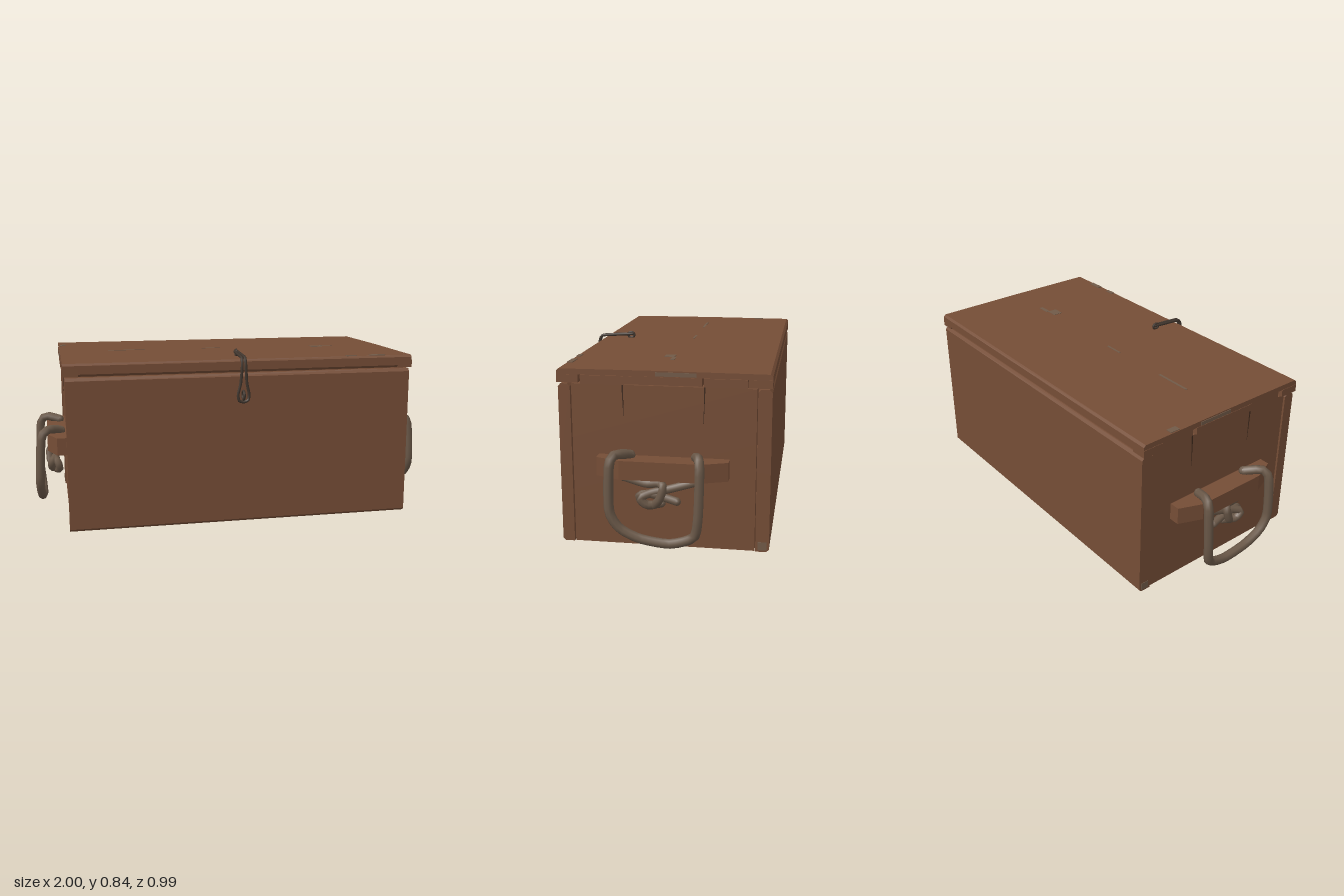
import * as THREE from 'three';

export function createModel() {
  const group = new THREE.Group();
  const mat = (name, color) => Object.assign(new THREE.MeshStandardMaterial({ color }), { name });
  const wood = mat('wood', 0x754d36);
  const rope = mat('rope', 0x6a5848);
  const metal = mat('darkMetal', 0x40362e);
  const worn = mat('wornWood', 0x715a48);
  const crack = mat('crack', 0x3f2a1d);

  const add = (name, geometry, material, parent = group) => {
    const mesh = new THREE.Mesh(geometry, material);
    mesh.name = name;
    parent.add(mesh);
    return mesh;
  };

  // Plain box given by its limits
  const box = (name, x0, x1, y0, y1, z0, z1, material = wood, parent = group) => {
    const g = new THREE.BoxGeometry(Math.abs(x1 - x0), y1 - y0, z1 - z0);
    g.translate((x0 + x1) / 2, (y0 + y1) / 2, (z0 + z1) / 2);
    return add(name, g, material, parent);
  };

  // Board running along x with a zy cross-section
  const board = (name, points, halfLength) => {
    const shape = new THREE.Shape(points.map(([z, y]) => new THREE.Vector2(-z, y)));
    const g = new THREE.ExtrudeGeometry(shape, { depth: halfLength * 2, bevelEnabled: false });
    g.translate(0, 0, -halfLength).rotateY(Math.PI / 2);
    return add(name, g, wood);
  };

  // Rope or wire through points, with rounded ends
  const cord = (name, points, radius, material, parent, segments = 30, closed = false) => {
    const v = points.map(p => new THREE.Vector3(...p));
    const curve = new THREE.CatmullRomCurve3(v, closed, 'catmullrom', 0.35);
    add(name, new THREE.TubeGeometry(curve, segments, radius, 8, closed), material, parent);
    if (!closed) for (const p of [v[0], v[v.length - 1]])
      add(name + 'End', new THREE.SphereGeometry(radius, 8, 6).translate(p.x, p.y, p.z), material, parent);
  };

  // Front and back walls, two boards each, with chamfered outer edges
  const walls = [['front', 0.393, 0.447, 1], ['back', -0.495, -0.434, -1]];
  for (const [side, z0, z1, dir] of walls) {
    const [inner, outer] = dir > 0 ? [z0, z1] : [z1, z0];
    const c = 0.012 * dir;
    board(side + 'LowerBoard', [[inner, 0.004], [outer - c, 0.004], [outer, 0.016], [outer, 0.37], [inner, 0.37]], 0.847);
    board(side + 'UpperBoard', [[inner, 0.37], [outer, 0.37], [outer, 0.728], [outer - c, 0.742], [inner + c, 0.742], [inner, 0.73]], 0.847);
  }
  box('bottomPanel', -0.79, 0.79, 0.008, 0.05, -0.43, 0.39);

  // Lid: bevelled top in two boards, with a lower layer
  board('lidFrontBoard', [[-0.025, 0.785], [0.45, 0.785], [0.45, 0.8], [0.44, 0.81], [-0.025, 0.812]], 0.856);
  board('lidBackBoard', [[-0.025, 0.785], [-0.025, 0.812], [-0.485, 0.81], [-0.496, 0.8], [-0.496, 0.785]], 0.856);
  board('lidUnderside', [[-0.496, 0.785], [-0.496, 0.76], [-0.485, 0.749], [0.439, 0.749], [0.45, 0.76], [0.45, 0.785]], 0.785);

  // Worn patches on the lid and the walls
  const patches = [[-0.61, -0.42, -0.035, -0.023], [-0.12, -0.02, -0.035, -0.025], [0.47, 0.53, -0.02, 0.03],
    [0.53, 0.6, -0.03, -0.01], [-0.85, -0.82, -0.34, -0.29], [0.52, 0.57, 0.42, 0.44], [0.64, 0.72, 0.415, 0.44]];
  for (const [x0, x1, z0, z1] of patches) box('wornPatch', x0, x1, 0.807, 0.8135, z0, z1, worn);

  for (const s of [1, -1]) {
    const end = new THREE.Group();
    end.name = s > 0 ? 'leftEnd' : 'rightEnd';
    group.add(end);

    // End wall of three boards with two tabs reaching into the lid
    for (const [y0, y1] of [[0.004, 0.25], [0.25, 0.497], [0.497, 0.742]])
      box('endBoard', s * 0.79, s * 0.84, y0, y1, -0.43, 0.389, wood, end);
    for (const [z0, z1] of [[0.155, 0.348], [-0.388, -0.2]])
      box('endTab', s * 0.79, s * 0.84, 0.742, 0.78, z0, z1, wood, end);
    // Lid edge between the tabs
    for (const [z0, z1] of [[0.353, 0.45], [-0.195, 0.15], [-0.496, -0.393]])
      box('lidEdge', s * 0.785, s * 0.858, 0.749, 0.785, z0, z1, wood, end);
    box('lidWornEdge', s * 0.853, s * 0.859, 0.788, 0.806, -0.17, 0.01, worn, end);
    box('wornCorner', s * 0.844, s * 0.849, 0.012, 0.05, -0.485, -0.445, worn, end);

    // Narrow splits below the tabs
    for (const [z, d] of [[0.155, 0.007], [-0.2, -0.007]]) {
      const tri = new THREE.Shape([[-z, 0.742], [-z - d, 0.742], [-z, 0.58]].map(p => new THREE.Vector2(...p)));
      const g = new THREE.ExtrudeGeometry(tri, { depth: 0.004, bevelEnabled: false });
      g.translate(0, 0, -0.002).rotateY(Math.PI / 2).translate(s * 0.84, 0, 0);
      add('split', g, crack, end);
    }

    // Batten with slanted ends
    const outline = [[0.835, -0.315], [0.89, -0.315], [0.935, -0.2], [0.935, 0.16], [0.89, 0.27], [0.835, 0.27]];
    const shape = new THREE.Shape(outline.map(([x, z]) => new THREE.Vector2(s * x, -z)));
    const batten = new THREE.ExtrudeGeometry(shape, { depth: 0.085, bevelEnabled: false });
    add('batten', batten.rotateX(-Math.PI / 2).translate(0, 0.34, 0), wood, end);

    // Rope handle and the knot beneath the batten
    const side = pts => pts.map(([x, y, z]) => [s * x, y, z]);
    cord('ropeHandle', side([[0.868, 0.435, 0.12], [0.895, 0.445, 0.14], [0.935, 0.45, 0.18], [0.965, 0.41, 0.195],
      [0.978, 0.21, 0.195], [0.975, 0.13, 0.15], [0.97, 0.085, 0.06], [0.965, 0.067, -0.07], [0.97, 0.105, -0.175],
      [0.978, 0.2, -0.195], [0.968, 0.41, -0.2], [0.935, 0.45, -0.19], [0.868, 0.435, -0.17]]), 0.022, rope, end, 40);
    cord('knotStrand', side([[0.88, 0.335, 0.15], [0.89, 0.312, 0.05], [0.9, 0.32, -0.01], [0.925, 0.31, -0.035],
      [0.925, 0.25, -0.015], [0.9, 0.215, 0.02], [0.88, 0.22, 0.065], [0.885, 0.255, 0.08], [0.9, 0.27, 0.03],
      [0.895, 0.255, -0.03], [0.9, 0.24, -0.09]]), 0.019, rope, end, 36);
    cord('knotLoop', side([[0.88, 0.325, -0.17], [0.885, 0.292, -0.06], [0.9, 0.275, 0.02], [0.92, 0.255, 0.07],
      [0.915, 0.222, 0.04], [0.89, 0.225, -0.02]]), 0.019, rope, end, 24);
  }

  // Wire hasp: teardrop loop hanging over the front, held by two staples
  const latch = new THREE.Group();
  latch.name = 'latch';
  group.add(latch);
  const half = [[0.006, 0.831, 0.3], [0.008, 0.825, 0.4], [0.008, 0.818, 0.462], [0.009, 0.78, 0.476],
    [0.015, 0.7, 0.473], [0.027, 0.645, 0.47], [0.022, 0.615, 0.47]];
  const other = half.map(([x, y, z]) => [-x, y, z]).reverse();
  const shift = ([x, y, z]) => [x - 0.008, y, z];
  cord('haspWire', [...half, [0, 0.607, 0.47], ...other].map(shift), 0.007, metal, latch, 70, true);
  const staple = (name, y, z, ry, rz) => {
    const ring = [];
    for (let i = 0; i < 8; i++) {
      const a = i * Math.PI / 4;
      ring.push([-0.008, y + ry * Math.sin(a), z + rz * Math.cos(a)]);
    }
    cord(name, ring, 0.006, metal, latch, 20, true);
  };
  staple('frontStaple', 0.64, 0.469, 0.021, 0.021);
  staple('topStaple', 0.826, 0.304, 0.014, 0.017);

  return group;
}
